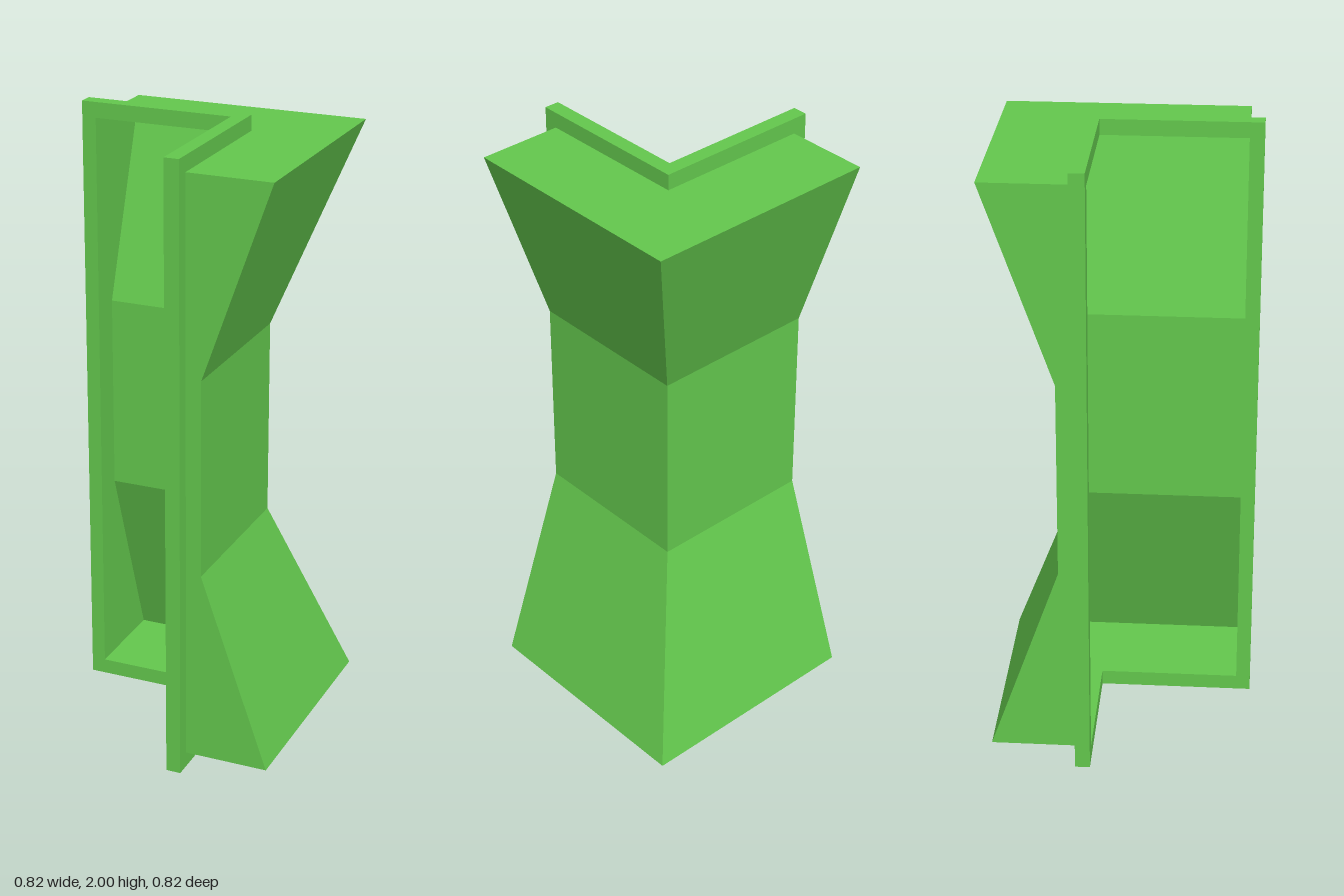
import * as THREE from 'three';

const OUT = 0.41;      // outermost extent
const BACK = 0.138;    // rear plane of the corner frame
const FRONT = 0.09;    // inner (concave) plane of the corner frame
const OPEN = 0.364;    // end of the opening
const RAIL = 0.05;     // rail height
const HEIGHT = 2;

export function createModel() {
  const model = new THREE.Group();
  const material = new THREE.MeshStandardMaterial({
    color: 0x63c74d, flatShading: true, side: THREE.DoubleSide,
  });
  const add = (name, geometry, x = 0, y = 0, z = 0) => {
    const mesh = new THREE.Mesh(geometry, material);
    mesh.name = name;
    mesh.position.set(x, y, z);
    model.add(mesh);
  };

  // L-shaped top and bottom rails of the frame
  const railShape = new THREE.Shape([
    [-OUT, FRONT], [FRONT, FRONT], [FRONT, -OUT],
    [BACK, -OUT], [BACK, BACK], [-OUT, BACK],
  ].map(([x, y]) => new THREE.Vector2(x, y)));
  const rail = new THREE.ExtrudeGeometry(railShape, { depth: RAIL, bevelEnabled: false });
  rail.rotateX(-Math.PI / 2);
  add('bottomRail', rail);
  add('topRail', rail, 0, HEIGHT - RAIL, 0);

  // Upright posts at the two free ends of the frame
  const wide = OUT - OPEN, thick = BACK - FRONT;
  const end = (OUT + OPEN) / 2, mid = (BACK + FRONT) / 2;
  const tall = HEIGHT - 2 * RAIL;
  add('rightPost', new THREE.BoxGeometry(wide, tall, thick), -end, HEIGHT / 2, -mid);
  add('frontPost', new THREE.BoxGeometry(thick, tall, wide), mid, HEIGHT / 2, end);

  // Hollow corner body: L cross-sections, pinched in the middle
  const section = (y, d) => [
    [-OPEN, -BACK], [-OPEN, -d], [d, -d], [d, OPEN], [BACK, OPEN], [BACK, -BACK],
  ].map(([x, z]) => [x, y, z]);
  const rings = [
    section(RAIL, OUT), section(0.68, 0.188),
    section(1.32, 0.188), section(HEIGHT - RAIL, OUT),
  ];
  const points = [];
  const quad = (a, b, c, d) => points.push(...a, ...b, ...c, ...a, ...c, ...d);
  for (let i = 0; i < 3; i++) {
    const lo = rings[i], hi = rings[i + 1];
    for (let j = 0; j < 4; j++) quad(lo[j], hi[j], hi[j + 1], lo[j + 1]);
  }
  const [a, b, c, d, e, f] = rings[0];
  quad(a, b, c, f);
  quad(f, c, d, e);
  const [A, B, C, D, E, F] = rings[3];
  quad(F, C, B, A);
  quad(E, D, C, F);
  const body = new THREE.BufferGeometry();
  body.setAttribute('position', new THREE.Float32BufferAttribute(points, 3));
  body.computeVertexNormals();
  add('hollowBody', body);

  return model;
}
